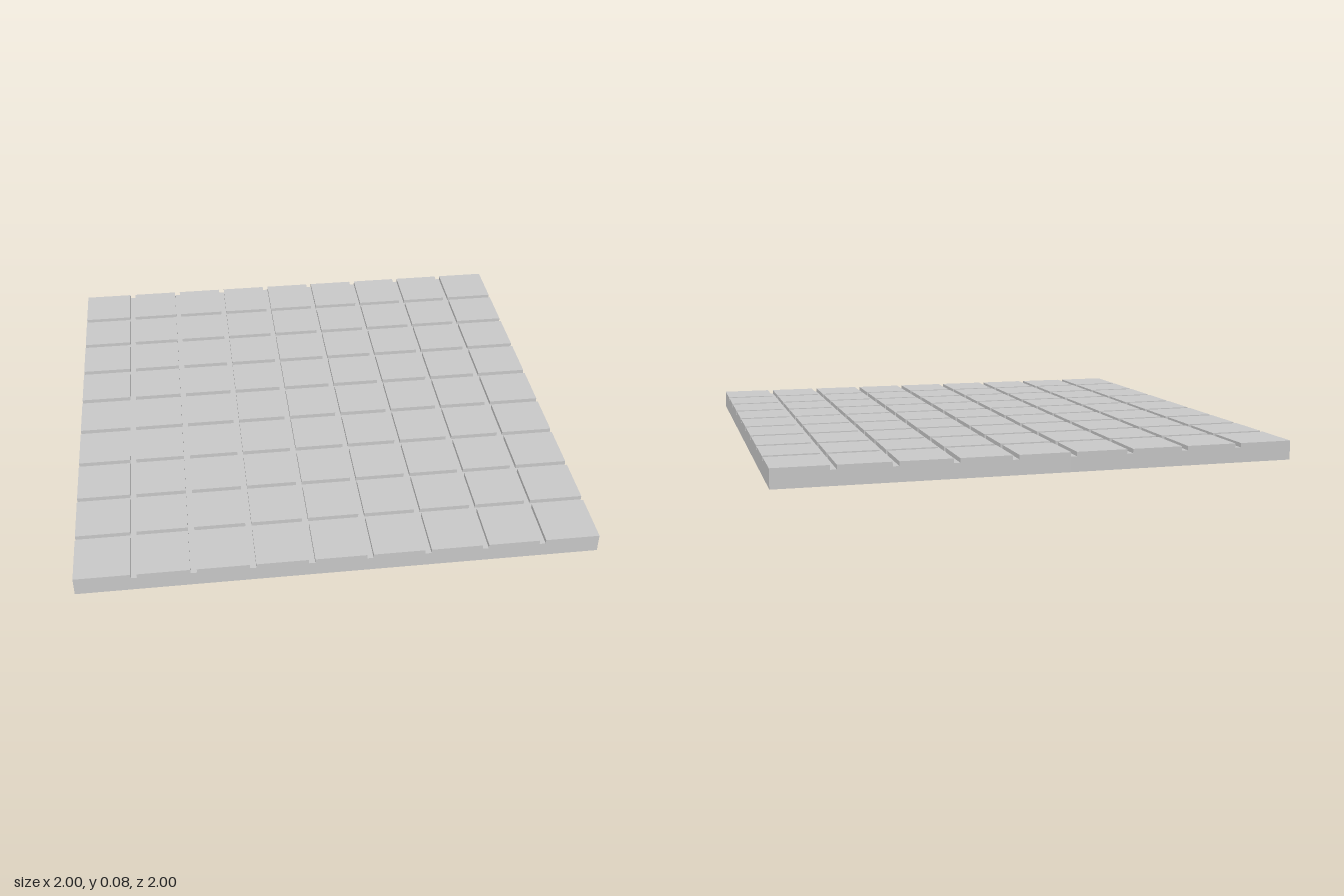
import * as THREE from 'three';

const TILES = 9, GROOVE = 0.024, TOP = 0.075, FLOOR = 0.058;

export function createModel() {
  const group = new THREE.Group();
  group.name = 'tiledSlab';

  // Strip borders along one axis: tile, groove, tile, ... (odd strips are grooves)
  const lines = [-1];
  for (let i = 1; i < TILES; i++) {
    const centre = -1 + (2 * i) / TILES;
    lines.push(centre - GROOVE / 2, centre + GROOVE / 2);
  }
  lines.push(1);
  const n = lines.length - 1;

  // Height of a cell; zero outside the slab, so the outer walls reach the ground
  const height = (i, j) => {
    if (i < 0 || j < 0 || i >= n || j >= n) return 0;
    return i % 2 || j % 2 ? FLOOR : TOP;
  };

  const positions = [];
  // Corners run anticlockwise as seen from the face's front
  const quad = (a, b, c, d) => positions.push(...a, ...b, ...c, ...a, ...c, ...d);

  for (let i = 0; i < n; i++) {
    for (let j = 0; j < n; j++) {
      const x0 = lines[i], x1 = lines[i + 1], z0 = lines[j], z1 = lines[j + 1];
      const h = height(i, j);
      // Tile top or groove floor
      quad([x0, h, z1], [x1, h, z1], [x1, h, z0], [x0, h, z0]);
      // Walls down to each lower neighbour
      const wall = (low, ax, az, bx, bz) => {
        if (low < h) quad([ax, low, az], [bx, low, bz], [bx, h, bz], [ax, h, az]);
      };
      wall(height(i, j + 1), x0, z1, x1, z1);
      wall(height(i + 1, j), x1, z1, x1, z0);
      wall(height(i, j - 1), x1, z0, x0, z0);
      wall(height(i - 1, j), x0, z0, x0, z1);
    }
  }
  // Underside
  quad([-1, 0, -1], [1, 0, -1], [1, 0, 1], [-1, 0, 1]);

  const geometry = new THREE.BufferGeometry();
  geometry.setAttribute('position', new THREE.Float32BufferAttribute(positions, 3));
  geometry.computeVertexNormals();

  const slab = new THREE.Mesh(
    geometry,
    new THREE.MeshStandardMaterial({ color: 0xcccccc, flatShading: true })
  );
  slab.name = 'groovedSlab';
  group.add(slab);
  return group;
}
